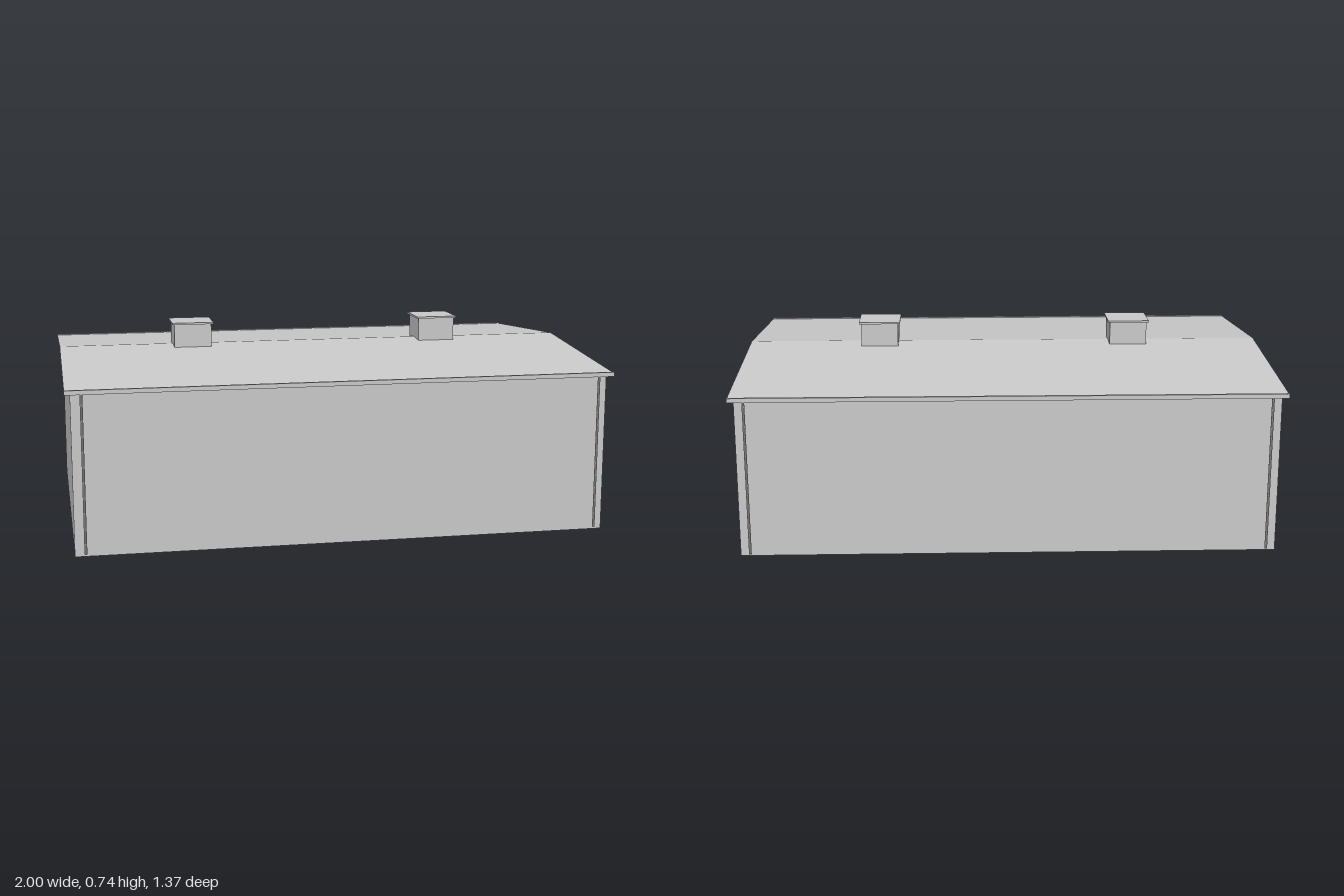
import * as THREE from 'three';

const WALL_X = 0.98, WALL_Z = 0.655, EAVE_Y = 0.6, RIDGE_Y = 0.652;
const ROOF_Z = 0.68;
const SLOPE = (RIDGE_Y - EAVE_Y) / WALL_Z;

export function createModel() {
  const model = new THREE.Group();
  const grey = new THREE.MeshStandardMaterial({ color: 0xcccccc, flatShading: true });
  const sheet = new THREE.MeshStandardMaterial({ color: 0xcccccc, flatShading: true, side: THREE.DoubleSide });

  const add = (name, geometry, material, x = 0, y = 0, z = 0) => {
    const mesh = new THREE.Mesh(geometry, material);
    mesh.name = name;
    mesh.position.set(x, y, z);
    model.add(mesh);
    return mesh;
  };

  // Pitched roof: a thin sheet folded along the ridge
  const roof = new THREE.PlaneGeometry(2, ROOF_Z * 2, 1, 2).rotateX(-Math.PI / 2);
  const p = roof.attributes.position;
  for (let i = 0; i < p.count; i++) p.setY(i, RIDGE_Y - Math.abs(p.getZ(i)) * SLOPE);
  const roofFlat = roof.toNonIndexed();
  roofFlat.computeVertexNormals();
  add('roof', roofFlat, sheet);

  // Gable outline, shared by both end walls
  const gable = new THREE.Shape([
    new THREE.Vector2(-WALL_Z, 0),
    new THREE.Vector2(WALL_Z, 0),
    new THREE.Vector2(WALL_Z, EAVE_Y),
    new THREE.Vector2(0, RIDGE_Y),
    new THREE.Vector2(-WALL_Z, EAVE_Y),
  ]);

  for (const s of [-1, 1]) {
    const end = s > 0 ? 'left' : 'right';
    const face = s > 0 ? 'front' : 'back';

    // Open-bottomed shell of walls
    add(`${end}GableWall`, new THREE.ShapeGeometry(gable), sheet, s * WALL_X).rotation.y = s * Math.PI / 2;
    add(`${face}Wall`, new THREE.PlaneGeometry(WALL_X * 2, EAVE_Y), sheet, 0, EAVE_Y / 2, s * WALL_Z)
      .rotation.y = s > 0 ? 0 : Math.PI;

    // Gutter along the eave, with a downpipe near each corner
    add(`${face}Gutter`, new THREE.BoxGeometry(2, 0.016, 0.012), grey, 0, 0.594, s * 0.678);
    for (const t of [-1, 1]) {
      add(`${face}Downpipe`, new THREE.CylinderGeometry(0.005, 0.005, 0.573, 8), grey, t * 0.942, 0.3015, s * 0.68);
    }

    // Ridge vent with overhanging cap
    add(`${end}RidgeVent`, new THREE.BoxGeometry(0.144, 0.097, 0.144), grey, s * 0.489, 0.6875, 0);
    add(`${end}VentCap`, new THREE.BoxGeometry(0.16, 0.007, 0.16), grey, s * 0.489, 0.7385, 0);
  }
  return model;
}
